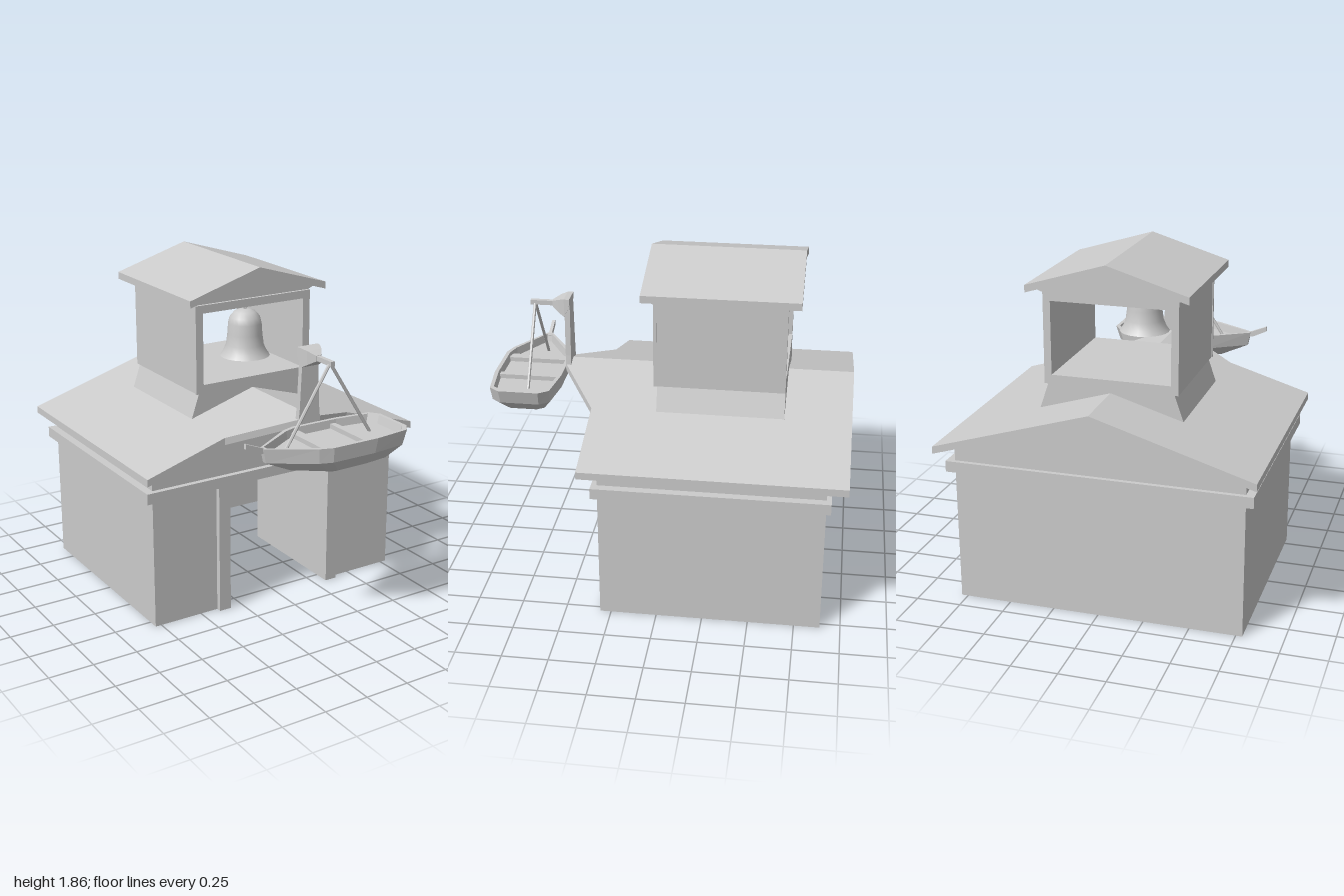
import * as THREE from 'three';

const grey = new THREE.MeshStandardMaterial({ color: 0xcccccc, flatShading: true });
const smooth = new THREE.MeshStandardMaterial({ color: 0xcccccc, side: THREE.DoubleSide });

export function createModel() {
  const model = new THREE.Group();

  const add = (name, geometry, material = grey) => {
    const mesh = new THREE.Mesh(geometry, material);
    mesh.name = name;
    model.add(mesh);
    return mesh;
  };

  const box = (name, x0, x1, y0, y1, z0, z1) =>
    add(name, new THREE.BoxGeometry(x1 - x0, y1 - y0, z1 - z0))
      .position.set((x0 + x1) / 2, (y0 + y1) / 2, (z0 + z1) / 2);

  const toShape = (pts) => new THREE.Shape(pts.map(([x, y]) => new THREE.Vector2(x, y)));

  // outline in x, y pushed along z, with optional hole
  const slab = (name, pts, z0, z1, hole) => {
    const shape = toShape(pts);
    if (hole) shape.holes.push(toShape(hole));
    const g = new THREE.ExtrudeGeometry(shape, { depth: z1 - z0, bevelEnabled: false });
    add(name, g.translate(0, 0, z0));
  };

  const rect = (w, y0, y1) => [[-w, y0], [w, y0], [w, y1], [-w, y1]];

  // skin over a list of rings, capped at both ends
  const loft = (name, rings) => {
    const n = rings[0].length, last = (rings.length - 1) * n, index = [];
    for (let i = 0; i < rings.length - 1; i++)
      for (let j = 0; j < n; j++) {
        const a = i * n + j, b = i * n + (j + 1) % n;
        index.push(a, b, b + n, a, b + n, a + n);
      }
    for (let j = 1; j < n - 1; j++)
      index.push(0, j + 1, j, last, last + j, last + j + 1);
    const g = new THREE.BufferGeometry();
    g.setAttribute('position', new THREE.Float32BufferAttribute(rings.flat(2), 3));
    g.setIndex(index);
    const flat = g.toNonIndexed();
    flat.computeVertexNormals();
    add(name, flat);
  };

  // round bar between two points
  const bar = (name, from, to, r) => {
    const a = new THREE.Vector3(...from), b = new THREE.Vector3(...to);
    const mesh = add(name, new THREE.CylinderGeometry(r, r, a.distanceTo(b), 6));
    mesh.position.copy(a).add(b).multiplyScalar(0.5);
    mesh.quaternion.setFromUnitVectors(new THREE.Vector3(0, 1, 0), b.sub(a).normalize());
  };

  const SLOPE = 0.302, T = 0.04;
  const chevron = (w, ridge) => {
    const eave = ridge - SLOPE * w;
    return [[0, ridge], [-w, eave], [-w, eave - T], [0, ridge - T], [w, eave - T], [w, eave]];
  };

  // hall walls, open underneath
  const W = 0.785, wallTop = 1.125 - SLOPE * W;
  slab('frontWall', [[-W, 0], [-0.36, 0], [-0.36, 0.765], [0.36, 0.765], [0.36, 0], [W, 0],
    [W, wallTop], [0, 1.125], [-W, wallTop]], 0.3, 0.31);
  slab('backWall', [[-W, 0], [W, 0], [W, wallTop], [0, 1.125], [-W, wallTop]], -0.89, -0.88);
  box('leftWall', W - 0.01, W, 0, wallTop, -0.88, 0.3);
  box('rightWall', -W, -W + 0.01, 0, wallTop, -0.88, 0.3);

  // deep doorway lining
  slab('doorFrame', [[-0.395, 0], [-0.325, 0], [-0.325, 0.735], [0.325, 0.735], [0.325, 0],
    [0.395, 0], [0.395, 0.795], [-0.395, 0.795]], -0.4, 0.34);

  // cornice band, interrupted by the doorway
  const band = toShape([[-0.395, 0.34], [-0.83, 0.34], [-0.83, -0.915], [0.83, -0.915],
    [0.83, 0.34], [0.395, 0.34], [0.395, 0.31], [W, 0.31], [W, -0.89], [-W, -0.89],
    [-W, 0.31], [-0.395, 0.31]].map(([x, z]) => [x, -z]));
  const bandGeometry = new THREE.ExtrudeGeometry(band, { depth: 0.06, bevelEnabled: false });
  add('cornice', bandGeometry.rotateX(-Math.PI / 2).translate(0, 0.735, 0));

  // main roof and its pointed front hood
  slab('mainRoof', chevron(0.86, 1.165), -1, 0.405);
  loft('roofHood', [[0.395, 0.405], [0.06, 0.61]].map(([w, z]) =>
    chevron(w, 1.165).map(([x, y]) => [x, y, z])));

  // bell turret
  slab('turretSkirt', [[-0.395, 1.04], [0, 1.14], [0.395, 1.04], [0.345, 1.185], [-0.345, 1.185]], -0.64, 0.05);
  const opening = rect(0.325, 1.235, 1.635);
  slab('turretWalls', rect(0.365, 1.185, 1.68), -0.64, 0.05, opening);
  slab('turretFrontFrame', rect(0.37, 1.185, 1.68), 0.05, 0.067, opening);
  slab('turretGable', [[-0.37, 1.68], [0.37, 1.68], [0.41, 1.697], [0, 1.82], [-0.41, 1.697]], -0.64, 0.05);
  slab('turretRoof', chevron(0.435, 1.86), -0.71, 0.125);

  // bell
  const profile = [[0.14, 1.335], [0.122, 1.36], [0.106, 1.4], [0.098, 1.46], [0.094, 1.52],
    [0.085, 1.555], [0.06, 1.585], [0.03, 1.597], [0, 1.6]];
  add('bell', new THREE.LatheGeometry(profile.map(([x, y]) => new THREE.Vector2(x, y)), 20), smooth)
    .position.z = -0.03;
  bar('bellHanger', [0, 1.59, -0.03], [0, 1.64, -0.03], 0.01);

  // bracket that carries the boat
  slab('bracketPost', [[-0.07, 1.12], [0.07, 1.12], [0.062, 1.2], [0.048, 1.5], [-0.048, 1.5], [-0.062, 1.2]], 0.58, 0.61);
  loft('bracketHead', [
    [0.58, 0.065, 1.5, 1.535], [0.61, 0.06, 1.43, 1.535],
    [0.645, 0.045, 1.45, 1.525], [0.685, 0.015, 1.475, 1.505],
  ].map(([z, w, y0, y1]) => [[w, y0, z], [w, y1, z], [-w, y1, z], [-w, y0, z]]));
  box('bracketArm', -0.012, 0.012, 1.477, 1.503, 0.68, 0.81);
  for (const side of [-1, 1])
    bar(side > 0 ? 'leftStay' : 'rightStay', [0, 1.49, 0.785], [side * 0.265, 1.075, 0.785], 0.009);

  // boat hull: plan outline scaled level by level, inner floor first
  const half = [[0.405, 0.11], [0.365, 0.165], [0.16, 0.19], [-0.115, 0.19], [-0.19, 0.165], [-0.425, 0.015]];
  const plan = [...half, ...half.map(([x, z]) => [x, -z]).reverse()];
  const levels = [ // height, x scale, z scale, x shift
    [1.075, 0.92, 0.86, 0], [1.12, 0.95, 0.89, 0], [1.12, 1, 1, 0],
    [1.04, 0.95, 0.97, -0.005], [0.968, 0.66, 0.68, 0.03], [0.935, 0.27, 0.34, 0.01],
  ];
  loft('boatHull', levels.map(([y, sx, sz, dx]) =>
    plan.map(([x, z]) => [x * sx + dx, y, 0.808 + z * sz])));
  box('frontBench', -0.14, -0.087, 1.07, 1.1, 0.64, 0.976);
  box('rearBench', 0.112, 0.145, 1.07, 1.1, 0.64, 0.976);
  slab('bowsprit', [[-0.525, 1.135], [-0.44, 1.095], [-0.4, 1.09], [-0.4, 1.115], [-0.43, 1.125], [-0.522, 1.162]], 0.799, 0.817);

  return model;
}
